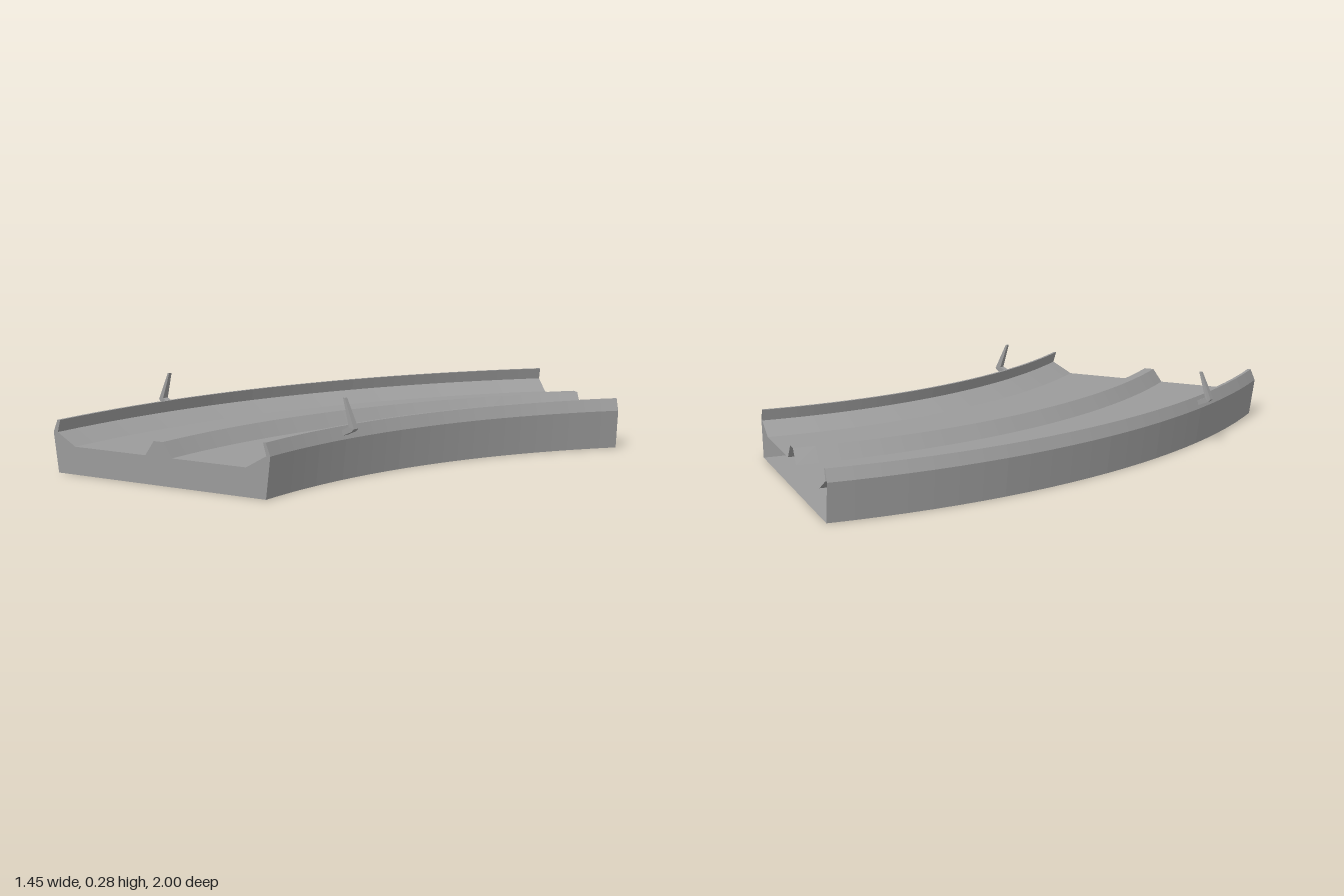
import * as THREE from 'three';

const CENTRE_X = 2.1, FRONT_Z = 1;        // centre of the bend
const ARC = Math.PI / 4, STEPS = 24;
const OUTER_R = 2.828, INNER_R = 1.945;

const material = new THREE.MeshStandardMaterial({
  color: 0x9b9b9b, flatShading: true, side: THREE.DoubleSide,
});

// Cross-section at the front end, counter-clockwise: [x, y]
const PROFILE = [
  [-0.71, 0], [0.137, 0],                                 // underside
  [0.155, 0.138], [0.138, 0.18], [0.128, 0.18], [0.14, 0.138], // inner wall and lip
  [0.062, 0.095], [-0.23, 0.095],                         // inner lane
  [-0.265, 0.145], [-0.302, 0.145], [-0.338, 0.095],      // middle ridge
  [-0.635, 0.095], [-0.71, 0.138],                        // outer lane
  [-0.698, 0.18], [-0.71, 0.18], [-0.728, 0.138], [-0.71, 0], // outer lip and wall
];

// Sweeps an open run of cross-section points round the bend
function sweep(points) {
  const positions = [], index = [];
  for (let k = 0; k < points.length - 1; k++) {
    const base = positions.length / 3;
    for (let i = 0; i <= STEPS; i++) {
      const t = ARC * i / STEPS;
      for (const [x, y] of [points[k], points[k + 1]]) {
        const r = CENTRE_X - x;
        positions.push(CENTRE_X - r * Math.cos(t), y, FRONT_Z - r * Math.sin(t));
      }
      if (i < STEPS) {
        const a = base + i * 2;
        index.push(a, a + 2, a + 3, a, a + 3, a + 1);
      }
    }
  }
  const geometry = new THREE.BufferGeometry();
  geometry.setAttribute('position', new THREE.Float32BufferAttribute(positions, 3));
  geometry.setIndex(index);
  geometry.computeVertexNormals();
  return geometry;
}

function toShape(points) {
  return new THREE.Shape(points.map(([x, y]) => new THREE.Vector2(x, y)));
}

function addMesh(parent, name, geometry) {
  const mesh = new THREE.Mesh(geometry, material);
  mesh.name = name;
  parent.add(mesh);
  return mesh;
}

// Bent post: short sloping foot outside the wall, then a tapered upright leaning back in.
// First number of each pair is the distance outward from the wall.
const POST = [
  [-0.006, 0.15], [0.034, 0.167], [0.044, 0.177], [-0.001, 0.275],
  [-0.009, 0.275], [0.021, 0.182], [-0.01, 0.168],
];

function addPost(parent, name, toX) {
  const width = 0.022;
  const geometry = new THREE.ExtrudeGeometry(toShape(POST.map(([d, y]) => [toX(d), y])),
    { depth: width, bevelEnabled: false });
  geometry.translate(0, 0, -width / 2);
  // narrow the upright toward its tip
  const p = geometry.attributes.position;
  for (let i = 0; i < p.count; i++) {
    if (p.getY(i) > 0.2) p.setZ(i, p.getZ(i) * 0.5);
  }
  geometry.computeVertexNormals();
  const post = addMesh(parent, name, geometry);
  post.position.set(CENTRE_X, 0, FRONT_Z);
  post.rotation.y = -ARC / 4;
}

export function createModel() {
  const group = new THREE.Group();
  group.name = 'curvedTrackSection';

  // Swept surfaces: [name, first point, last point]
  const sections = [
    ['underside', 0, 1],
    ['innerWall', 1, 2],
    ['innerLip', 2, 5],
    ['innerLane', 5, 7],
    ['middleRidge', 7, 10],
    ['outerLane', 10, 12],
    ['outerLip', 12, 15],
    ['outerWall', 15, 16],
  ];
  for (const [name, from, to] of sections) {
    addMesh(group, name, sweep(PROFILE.slice(from, to + 1)));
  }

  // Closed front end; the back end stays open
  const cap = addMesh(group, 'frontEnd', new THREE.ShapeGeometry(toShape(PROFILE.slice(0, -1))));
  cap.position.z = FRONT_Z;

  addPost(group, 'outerPost', d => -(OUTER_R + d));
  addPost(group, 'innerPost', d => -(INNER_R - d));
  return group;
}
